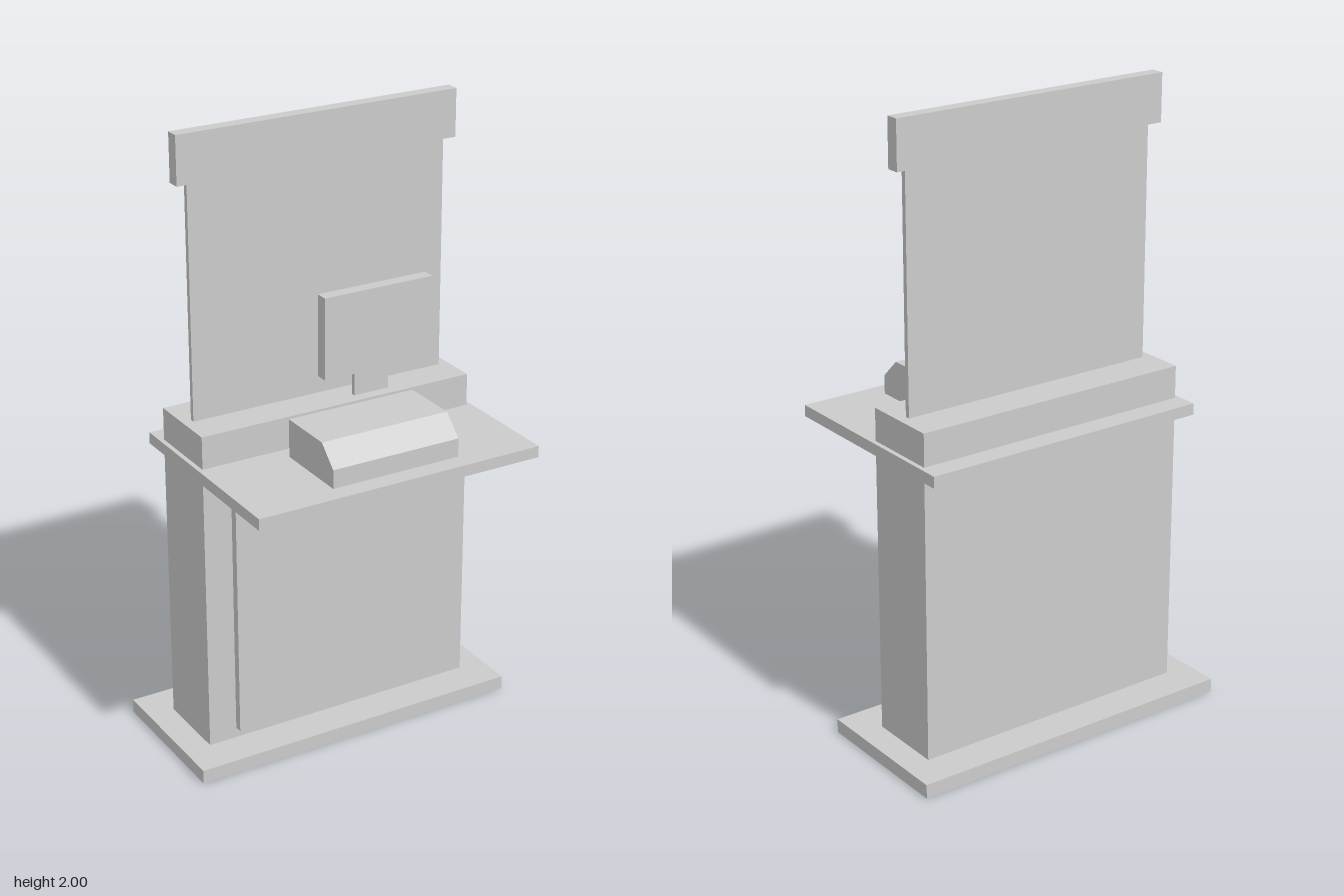
import * as THREE from 'three';

const material = new THREE.MeshStandardMaterial({ color: 0xcccccc, flatShading: true });

export function createModel() {
  const group = new THREE.Group();

  const add = (name, geometry) => {
    const mesh = new THREE.Mesh(geometry, material);
    mesh.name = name;
    group.add(mesh);
    return mesh;
  };

  // Box given by its extents along each axis
  const box = (name, [x0, x1], [y0, y1], [z0, z1]) =>
    add(name, new THREE.BoxGeometry(x1 - x0, y1 - y0, z1 - z0))
      .position.set((x0 + x1) / 2, (y0 + y1) / 2, (z0 + z1) / 2);

  // Cabinet on its floor plate
  box('basePlate', [-0.556, 0.556], [0, 0.045], [-0.372, 0.118]);
  box('cabinet', [-0.469, 0.469], [0.045, 1.105], [-0.254, -0.002]);
  box('frontDoor', [-0.375, 0.375], [0.08, 0.928], [-0.002, 0.024]);
  box('counter', [-0.484, 0.484], [0.963, 1.0], [-0.325, 0.37]);

  // Upright back board with header sign
  box('backBoard', [-0.437, 0.437], [1.105, 1.85], [-0.132, -0.116]);
  box('header', [-0.474, 0.474], [1.848, 2.0], [-0.148, -0.105]);

  // Screen on a short stand
  box('screen', [-0.05, 0.329], [1.197, 1.461], [-0.039, 0.002]);
  box('screenStand', [0.078, 0.2], [1.105, 1.253], [-0.054, -0.039]);

  // Console with a sloped front edge: profile in (z, y), extruded across x
  const profile = new THREE.Shape([
    [0.05, 1.0], [0.308, 1.0], [0.308, 1.06], [0.243, 1.123], [0.05, 1.123],
  ].map(([z, y]) => new THREE.Vector2(-z, y)));
  const consoleBox = add('console',
    new THREE.ExtrudeGeometry(profile, { depth: 0.435, bevelEnabled: false }));
  consoleBox.rotation.y = Math.PI / 2;
  consoleBox.position.x = -0.203;

  return group;
}
